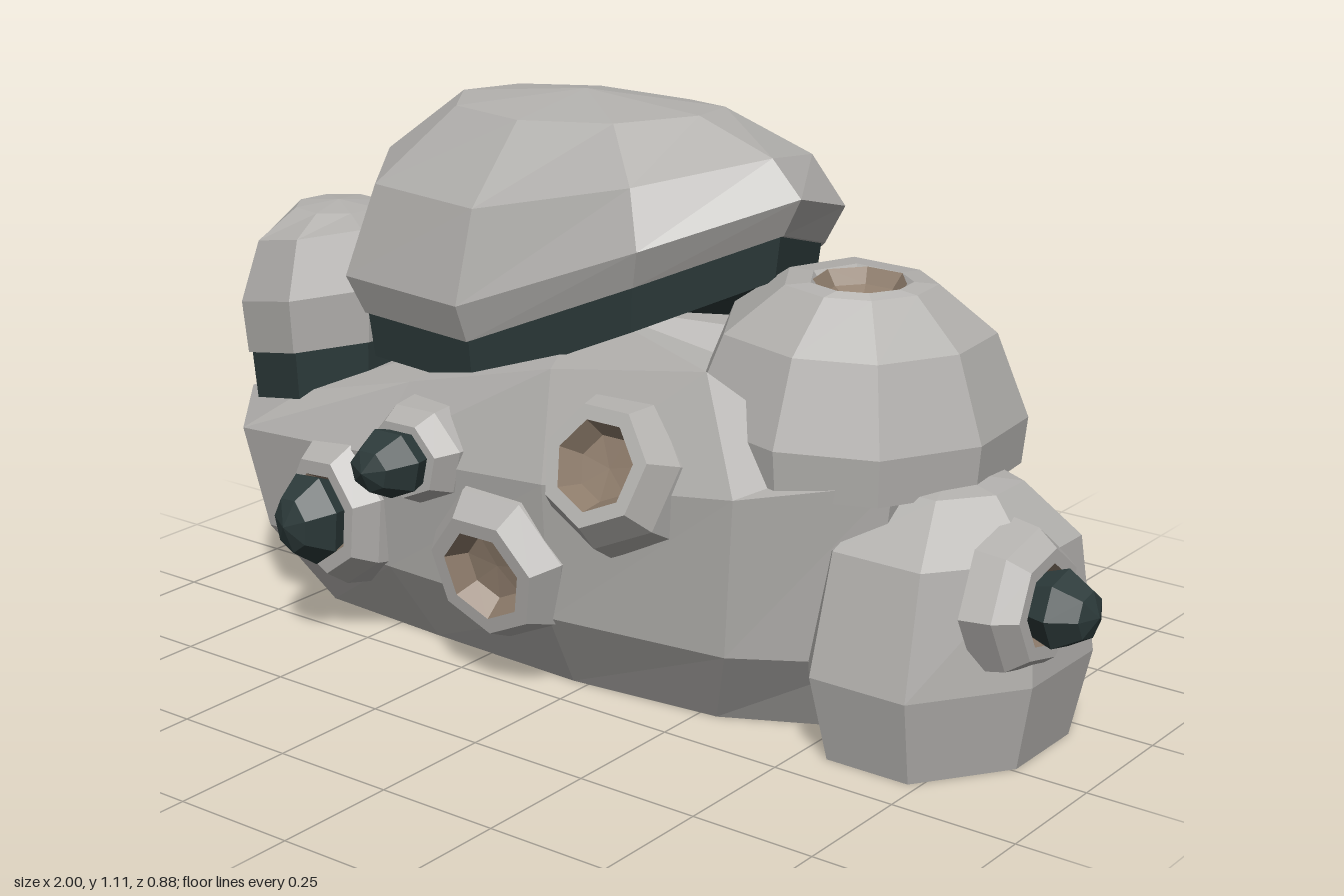
import * as THREE from 'three';

const mat = (name, color) => {
  const m = new THREE.MeshStandardMaterial({ color, flatShading: true });
  m.name = name;
  return m;
};

// Closed faceted solid from rings of [x, y, z], listed from +x towards -z
function loft(rings, topY) {
  const pos = [], n = rings[0].length;
  const tri = (...p) => p.forEach(v => pos.push(...v));
  const mid = r => [0, 1, 2].map(k => r.reduce((s, p) => s + p[k], 0) / n);
  const low = rings[0], high = rings[rings.length - 1];
  const base = mid(low), peak = mid(high);
  if (topY !== undefined) peak[1] = topY;
  for (let i = 0; i < n; i++) {
    const j = (i + 1) % n;
    for (let k = 0; k + 1 < rings.length; k++) {
      const a = rings[k], b = rings[k + 1];
      tri(a[i], a[j], b[j]);
      tri(a[i], b[j], b[i]);
    }
    tri(base, low[j], low[i]);
    tri(high[i], high[j], peak);
  }
  const g = new THREE.BufferGeometry();
  g.setAttribute('position', new THREE.Float32BufferAttribute(pos, 3));
  g.computeVertexNormals();
  return g;
}

// Plan outline scaled about a centre, with a height given by a rule
const ring = (plan, [cx, cz], s, height, sz = s) => plan.map(([x, z, y]) => {
  const px = cx + (x - cx) * s, pz = cz + (z - cz) * sz;
  return [px, height(px, pz, y), pz];
});

export function createModel() {
  const stone = mat('stone grey', 0xb3b1ae);
  const dark = mat('dark slate', 0x2c3a3a);
  const brown = mat('hollow brown', 0x8f7d6c);
  const model = new THREE.Group();
  model.name = 'boulder';
  const add = (name, geo, material, parent = model) => {
    const m = new THREE.Mesh(geo, material);
    m.name = name;
    parent.add(m);
    return m;
  };

  // Main body: flat base, bulging sides, top rising to the right and falling off under the hump
  const bodyPlan = [[-1, 0.05], [-0.83, 0.25], [-0.45, 0.28], [0, 0.3], [0.4, 0.25], [0.64, 0.1],
    [0.66, -0.25], [0.5, -0.39], [0, -0.43], [-0.42, -0.44], [-0.75, -0.36], [-0.97, -0.2]];
  const bc = [-0.17, -0.08];
  add('body', loft([
    ring(bodyPlan, bc, 0.8, () => 0, 0.65),
    ring(bodyPlan, bc, 0.94, () => 0.17, 0.92),
    ring(bodyPlan, bc, 1, (x, z) => 0.485 + 0.09 * x - 0.12 * z),
    ring(bodyPlan, bc, 0.82, x => Math.min(0.66 + 0.27 * x, 0.95 - 0.85 * x)),
  ], 0.68), stone);

  // Lobe at the lower right end
  const lobePlan = [[0.88, 0], [0.88, -0.22], [0.64, -0.36], [0.5, -0.3], [0.47, 0.1], [0.54, 0.2], [0.74, 0.2]];
  const lc = [0.66, -0.07];
  add('sideLobe', loft([
    ring(lobePlan, lc, 0.87, () => 0),
    ring(lobePlan, lc, 1.01, () => 0.17),
    ring(lobePlan, lc, 0.92, () => 0.4, 0.82),
    ring(lobePlan, lc, 0.5, () => 0.5, 0.45),
  ], 0.515), stone);

  // Hump at the upper right, its top dished for a hollow
  const humpPlan = [[0.73, -0.05], [0.71, -0.25], [0.53, -0.39], [0.2, -0.4], [0.08, -0.1], [0.22, 0.14],
    [0.45, 0.2], [0.63, 0.13]];
  const hc = [0.45, -0.08];
  add('hump', loft([
    ring(humpPlan, hc, 0.97, () => 0.49),
    ring(humpPlan, hc, 1, () => 0.58),
    ring(humpPlan, hc, 0.8, () => 0.74),
    ring(humpPlan, hc, 0.45, () => 0.83),
    ring(humpPlan, [0.47, -0.05], 0.3, () => 0.84),
  ], 0.7), stone);

  // Large cap with a dark seam; third value is the rim height
  const rim = [[0.28, -0.08, 0.89], [0.24, -0.28, 0.83], [0, -0.41, 0.64], [-0.4, -0.42, 0.62],
    [-0.63, -0.25, 0.67], [-0.7, -0.03, 0.7], [-0.57, 0.16, 0.65], [-0.25, 0.22, 0.66], [0.1, 0.15, 0.81]];
  const cc = [-0.2, -0.1];
  const dome = t => (x, z, y) => y + 0.075 + (1.1 - y - 0.075) * t;
  add('capSeam', loft([
    ring(rim, cc, 0.95, (x, z, y) => y - 0.09),
    ring(rim, cc, 0.98, (x, z, y) => y + 0.02),
  ]), dark);
  add('cap', loft([
    ring(rim, cc, 0.99, (x, z, y) => y),
    ring(rim, cc, 1.07, dome(0)),
    ring(rim, cc, 0.93, dome(0.5)),
    ring(rim, cc, 0.57, dome(0.92)),
  ], 1.105), stone);

  // Small cap at the left end with its own seam
  const knob = [];
  for (let i = 0; i < 8; i++) {
    const a = (i + 0.3) * Math.PI / 4;
    knob.push([-0.75 + 0.2 * Math.cos(a), 0.03 - 0.2 * Math.sin(a)]);
  }
  const kc = [-0.75, 0.03];
  const lift = d => x => 0.51 + d + 0.2 * (x + 0.93);
  add('smallCapSeam', loft([
    ring(knob, kc, 0.92, lift(-0.1)),
    ring(knob, kc, 0.97, lift(0.02)),
  ]), dark);
  add('smallCap', loft([
    ring(knob, kc, 1, lift(0)),
    ring(knob, kc, 1.05, lift(0.11)),
    ring(knob, kc, 0.85, lift(0.23)),
    ring(knob, kc, 0.45, () => 0.82),
  ], 0.83), stone);

  // Sockets: raised faceted collars, either hollow or holding a dark bud
  const lathe = pts => new THREE.LatheGeometry(pts.map(p => new THREE.Vector2(...p)), 7);
  const up = new THREE.Vector3(0, 1, 0);
  function socket(name, at, dir, r, h, bud, stretch = 1) {
    const g = new THREE.Group();
    g.name = name;
    g.position.set(...at);
    g.quaternion.setFromUnitVectors(up, new THREE.Vector3(...dir).normalize());
    g.scale.z = stretch;
    add('collar', lathe([[r * 1.08, -0.06], [r, 0], [r * 0.78, h], [r * 0.58, h]]), stone, g);
    add('hollow', lathe([[r * 0.58, h], [r * 0.42, h * 0.25], [0, h * 0.15]]), brown, g);
    if (bud) {
      const [w, tip] = bud;
      add('bud', lathe([[0, 0], [w * 0.8, h * 0.6], [w, tip * 0.5], [w * 0.6, tip * 0.87], [0, tip]]), dark, g);
    }
    model.add(g);
  }
  socket('lowerBudSocket', [-0.55, 0.27, 0.265], [-0.1, 0, 1], 0.13, 0.05, [0.08, 0.148], 1.2);
  socket('upperBudSocket', [-0.32, 0.44, 0.285], [-0.03, 0, 1], 0.115, 0.045, [0.08, 0.155], 0.87);
  socket('upperHollow', [0.14, 0.5, 0.265], [0, 0.4, 1], 0.15, 0.06);
  socket('lowerHollow', [-0.125, 0.255, 0.275], [0, -0.17, 1], 0.16, 0.055);
  socket('sideBudSocket', [0.86, 0.325, -0.015], [1, 0.03, 0], 0.135, 0.04, [0.075, 0.14]);

  // Hollow sunk into the top of the hump
  add('topHollow', lathe([[0.088, 0.843], [0.068, 0.815], [0, 0.775]]), brown).position.set(0.46, 0, -0.06);

  return model;
}
